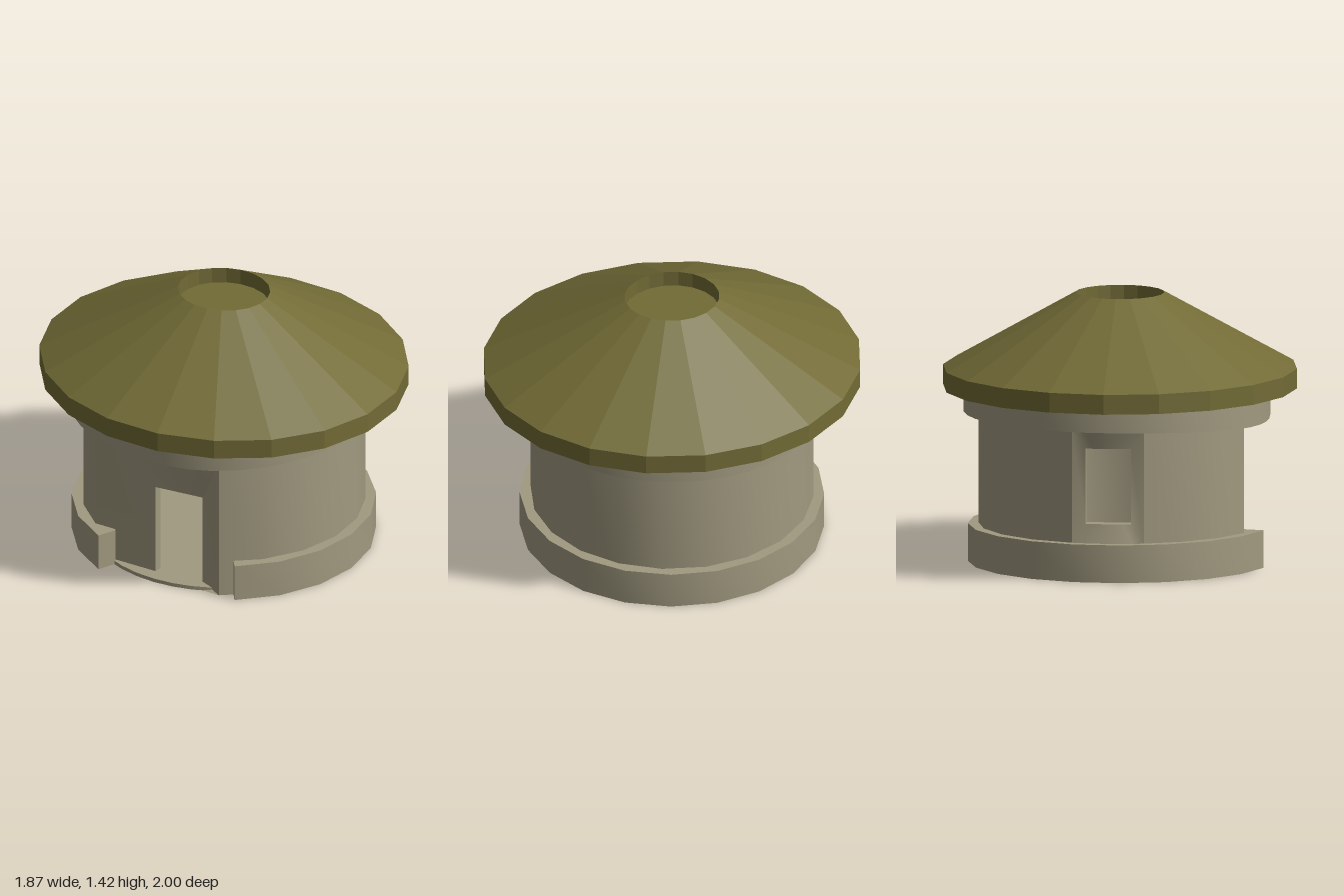
import * as THREE from 'three';
import { toCreasedNormals } from 'three/addons/utils/BufferGeometryUtils.js';

const rad = THREE.MathUtils.degToRad;
const stone = new THREE.MeshStandardMaterial({ color: 0xa19a80, side: THREE.DoubleSide });
const thatch = new THREE.MeshStandardMaterial({ color: 0x726b36, flatShading: true });
const INNER = 0.58, WALL = 0.745;

// angles run in degrees from -x (0) towards +z (90)
const polar = (a, r, y) => new THREE.Vector3(-r * Math.cos(rad(a)), y, r * Math.sin(rad(a)));

function add(parent, name, geometry, material = stone) {
  const mesh = new THREE.Mesh(geometry, material);
  mesh.name = name;
  parent.add(mesh);
  return mesh;
}

// revolved profile covering the angles a0..a1
function arc(profile, a0, a1) {
  const points = profile.map(([r, y]) => new THREE.Vector2(r, y));
  const segments = Math.max(2, Math.round((a1 - a0) / 18));
  return toCreasedNormals(new THREE.LatheGeometry(points, segments, rad(a0 - 90), rad(a1 - a0)), rad(35));
}

// skin through a row of rectangular outlines wrapped on the wall: splay, jamb, inner wall
function opening(outlines) {
  const n = 6, count = 2 * (n + 1), pos = [], idx = [];
  for (const { a0, a1, r0, r1 = r0, y0, y1, flat } of outlines) {
    const at = (t, y) => flat
      ? polar(a0, r0, y).lerp(polar(a1, r1, y), t)
      : polar(a0 + (a1 - a0) * t, r0 + (r1 - r0) * t, y);
    for (let i = 0; i <= n; i++) pos.push(...at(i / n, y0).toArray());
    for (let i = n; i >= 0; i--) pos.push(...at(i / n, y1).toArray());
  }
  for (let k = 0; k < outlines.length - 1; k++) {
    for (let i = 0; i < count; i++) {
      const a = k * count + i, b = k * count + (i + 1) % count;
      idx.push(a, b, b + count, a, b + count, a + count);
    }
  }
  const g = new THREE.BufferGeometry();
  g.setAttribute('position', new THREE.Float32BufferAttribute(pos, 3));
  g.setIndex(idx);
  return toCreasedNormals(g, rad(25));
}

export function createModel() {
  const model = new THREE.Group();
  model.name = 'roundHut';

  // floor and plinth, the plinth broken at the doorway
  const floor = add(model, 'floor', new THREE.CylinderGeometry(0.7, 0.7, 0.02, 40));
  floor.position.y = 0.01;
  add(model, 'plinth', arc([[0.69, 0], [0.8, 0], [0.8, 0.2], [0.69, 0.2], [0.69, 0]], 45, 345.5));
  for (const a of [45, 345.5]) {
    const end = add(model, 'plinthEnd', new THREE.PlaneGeometry(0.11, 0.2));
    end.position.copy(polar(a, 0.745, 0.1));
    end.rotation.y = rad(a);
  }

  // plain stretches of wall between door and window
  const section = [[INNER, 0], [WALL, 0], [WALL, 0.8], [INNER, 0.8], [INNER, 0]];
  add(model, 'frontWall', arc(section, 39, 255.2));
  add(model, 'backWall', arc(section, 284.8, 336));

  // splayed window at the back
  add(model, 'window', opening([
    { a0: 255.2, a1: 284.8, r0: WALL, y0: 0.2, y1: 0.8 },
    { a0: 260.4, a1: 279.6, r0: 0.72, y0: 0.3, y1: 0.7 },
    { a0: 259.5, a1: 280.5, r0: 0.65, y0: 0.3, y1: 0.7 },
    { a0: 255.2, a1: 284.8, r0: INNER, y0: 0, y1: 0.8 },
  ]));

  // flat-faced splayed doorway
  add(model, 'doorway', opening([
    { a0: -24, a1: 39, r0: WALL, y0: 0, y1: 0.79, flat: true },
    { a0: 6, a1: 31, r0: 0.625, r1: 0.64, y0: 0.02, y1: 0.52, flat: true },
    { a0: 6, a1: 31, r0: INNER, y0: 0.02, y1: 0.52 },
    { a0: -24, a1: 39, r0: INNER, y0: 0, y1: 0.79 },
  ]));

  // wall-head ring, sagging and drawn in a little over the door
  const ring = new THREE.LatheGeometry(
    [[INNER, 0.93], [INNER, 0.8], [0.825, 0.8], [0.825, 0.93]].map(([r, y]) => new THREE.Vector2(r, y)), 40);
  const p = ring.attributes.position;
  for (let i = 0; i < p.count; i++) {
    const x = p.getX(i), z = p.getZ(i), r = Math.hypot(x, z);
    const d = Math.max(0, -x / r);
    const s = r > 0.7 ? 1 - 0.045 * d ** 8 : 1;
    p.setXYZ(i, x * s, p.getY(i) - (p.getY(i) < 0.85 ? 0.035 * d * d : 0), z * s);
  }
  add(model, 'wallHead', toCreasedNormals(ring, rad(35)));

  // conical roof with a shallow round recess at the top
  const profile = [[0, 0.925], [1, 0.925], [1, 1.03], [0.25, 1.425], [0.25, 1.34], [0, 1.34]];
  const roof = add(model, 'roof',
    new THREE.LatheGeometry(profile.map(([r, y]) => new THREE.Vector2(r, y)), 20), thatch);
  roof.scale.x = 0.933;
  return model;
}
